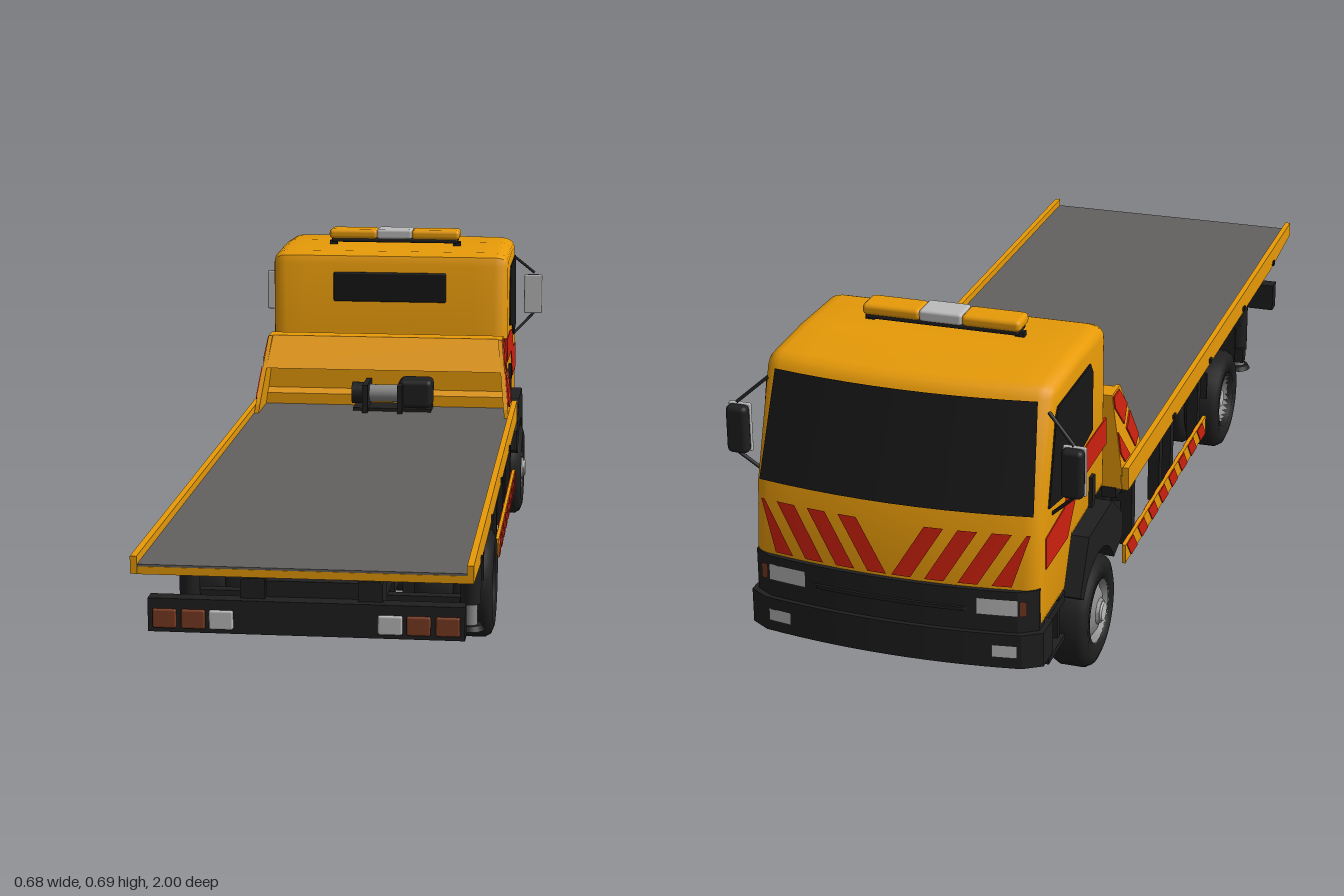
import * as THREE from 'three';
import { toCreasedNormals } from 'three/addons/utils/BufferGeometryUtils.js';
import { RoundedBoxGeometry } from 'three/addons/geometries/RoundedBoxGeometry.js';

const paint = (name, color) => new THREE.MeshStandardMaterial({ name, color });

export function createModel() {
  const root = new THREE.Group();
  root.name = 'flatbedTruck';
  const yellow = paint('yellow', 0xea9c08), red = paint('red', 0xcc200d);
  const black = paint('black', 0x1f1f1f), glass = paint('glass', 0x161616);
  const deckGrey = paint('deckGrey', 0x636160), metal = paint('metal', 0x8a8a8a);
  const lens = paint('clearLens', 0xbcbcbc), brown = paint('brownLens', 0x7a3b22);
  const SIDES = [1, -1];

  const add = (name, geo, mat, parent = root) => {
    const m = new THREE.Mesh(geo, mat);
    m.name = name;
    parent.add(m);
    return m;
  };
  // Box given by its limits on each axis
  const box = (name, mat, x0, x1, y0, y1, z0, z1, r = 0) => {
    const size = [x1 - x0, y1 - y0, z1 - z0];
    const g = r ? new RoundedBoxGeometry(...size, 2, r) : new THREE.BoxGeometry(...size);
    g.translate((x0 + x1) / 2, (y0 + y1) / 2, (z0 + z1) / 2);
    return add(name, g, mat);
  };
  // The same box on both sides
  const pair = (name, mat, x0, x1, ...rest) => SIDES.forEach(s =>
    box(name, mat, s > 0 ? x0 : -x1, s > 0 ? x1 : -x0, ...rest));
  const shape = pts => new THREE.Shape(pts.map(p => new THREE.Vector2(...p)));
  // Side profile of (forward, up) points, extruded across x
  const profGeo = (pts, x0, x1) => new THREE.ExtrudeGeometry(shape(pts), { depth: x1 - x0, bevelEnabled: false })
    .rotateY(Math.PI / 2).translate(x0, 0, 0);
  const prof = (name, mat, pts, x0, x1) => add(name, profGeo(pts, x0, x1), mat);
  const profPair = (name, mat, pts, x0, x1) => SIDES.forEach(s =>
    prof(name, mat, pts, s > 0 ? x0 : -x1, s > 0 ? x1 : -x0));
  // Upright or x-wise cylinder, or one along z
  const rod = (name, mat, r, len, axis, x, y, z, r2 = r) => {
    const g = new THREE.CylinderGeometry(r, r2, len, 20);
    if (axis === 'x') g.rotateZ(Math.PI / 2);
    if (axis === 'z') g.rotateX(Math.PI / 2);
    return add(name, g.translate(x, y, z), mat);
  };

  // The nose is bowed: the front falls back towards the sides
  const BOW = 0.35;
  const bow = g => {
    const p = g.attributes.position;
    for (let i = 0; i < p.count; i++) {
      const f = THREE.MathUtils.clamp((-p.getZ(i) - 0.8) / 0.08, 0, 1);
      p.setZ(i, p.getZ(i) + f * BOW * p.getX(i) ** 2);
    }
    g.computeVertexNormals();
    return g;
  };
  // Four-sided face on the nose: bottom and top x limits, height, place and lean
  const noseFace = (name, mat, [b0, b1, t0, t1], h, y, z, tilt = 0) => {
    const g = new THREE.PlaneGeometry(1, 1, 10, 1), p = g.attributes.position;
    const { lerp } = THREE.MathUtils;
    for (let i = 0; i < p.count; i++) {
      const u = p.getX(i) + 0.5, t = p.getY(i) + 0.5;
      p.setXY(i, -lerp(lerp(b1, b0, u), lerp(t1, t0, u), t), (t - 0.5) * h);
    }
    add(name, bow(g.rotateY(Math.PI).rotateX(tilt).translate(0, y, z)), mat);
  };
  const noseFacePair = (name, mat, [b0, b1, t0, t1], ...rest) => SIDES.forEach(s =>
    noseFace(name, mat, s > 0 ? [b0, b1, t0, t1] : [-b1, -b0, -t1, -t0], ...rest));
  // Bowed bar across the nose
  const noseBar = (name, mat, half, back, front, y0, y1) => {
    const pts = [[half, back]];
    for (let i = 8; i >= -8; i--) {
      const x = i / 8 * half;
      pts.push([x, front - BOW * x * x - (Math.abs(i) === 8 ? 0.015 : 0)]);
    }
    pts.push([-half, back]);
    const g = new THREE.ExtrudeGeometry(shape(pts), { depth: y1 - y0, bevelEnabled: false });
    add(name, g.rotateX(-Math.PI / 2).translate(0, y0, 0), mat);
  };

  // Cab shell with soft edges and a cut for the front wheels
  const cab = new THREE.ExtrudeGeometry(shape([
    [0.535, 0.298], [0.56, 0.298], [0.745, 0.29], [0.79, 0.2], [0.982, 0.2], [0.984, 0.27], [0.97, 0.42],
    [0.9, 0.626], [0.888, 0.64], [0.87, 0.647], [0.72, 0.652], [0.565, 0.648], [0.543, 0.639], [0.535, 0.62],
  ]), { depth: 0.49, steps: 10, bevelThickness: 0.03, bevelSize: 0.022, bevelOffset: -0.022, bevelSegments: 4 });
  add('cabShell', toCreasedNormals(bow(cab.rotateY(Math.PI / 2).translate(-0.245, 0, 0)), 0.6), yellow);

  // Windscreen, rear window and side windows
  noseFace('windscreen', glass, [-0.262, 0.262, -0.25, 0.25], 0.205, 0.527, -0.939, 0.328);
  box('rearWindow', glass, -0.132, 0.132, 0.533, 0.602, -0.54, -0.53, 0.004);
  profPair('sideWindow', glass, [[0.635, 0.583], [0.65, 0.604], [0.85, 0.604], [0.862, 0.59], [0.905, 0.428],
    [0.82, 0.412], [0.748, 0.449], [0.635, 0.465]], 0.272, 0.278);

  // Red side bands and door handles
  profPair('sideBand', red, [[0.54, 0.449], [0.66, 0.449], [0.748, 0.438], [0.812, 0.385], [0.92, 0.376],
    [0.92, 0.315], [0.79, 0.315], [0.725, 0.39], [0.54, 0.394]], 0.272, 0.277);
  profPair('doorHandle', black, [[0.63, 0.31], [0.65, 0.31], [0.65, 0.372], [0.63, 0.372]], 0.272, 0.282);

  // Slanted warning stripes on the nose
  for (let i = 0; i < 4; i++) {
    const x = 0.005 + i * 0.062, cut = v => Math.min(v, 0.258);
    noseFacePair('noseStripe', red, [x, cut(x + 0.036), cut(x + 0.06), cut(x + 0.096)], 0.1, 0.345, -0.981, 0.1);
  }

  // Grille, headlights, bumper and steps
  noseBar('grille', black, 0.273, 0.92, 0.991, 0.205, 0.288);
  noseBar('grilleBar', black, 0.16, 0.95, 0.996, 0.245, 0.252);
  noseFacePair('headlight', lens, [0.165, 0.24, 0.165, 0.24], 0.032, 0.256, -0.993);
  noseFacePair('cornerLamp', brown, [0.243, 0.256, 0.243, 0.256], 0.03, 0.256, -0.993);
  noseBar('frontBumper', black, 0.283, 0.9, 1, 0.138, 0.206);
  noseFacePair('fogLight', lens, [0.195, 0.24, 0.195, 0.24], 0.024, 0.172, -1.002);
  pair('cabStep', black, 0.2, 0.278, 0.115, 0.125, -0.91, -0.81);
  pair('stepBracket', black, 0.2, 0.27, 0.12, 0.205, -0.83, -0.82);
  pair('cabSill', black, 0.19, 0.272, 0.185, 0.203, -0.92, -0.79);

  // Front wheel arches
  const arch = [[0.505, 0.19], [0.51, 0.235], [0.585, 0.298], [0.74, 0.295], [0.795, 0.195]];
  for (let i = 0; i <= 10; i++) {
    const a = 0.6 + (Math.PI - 1.1) * i / 10;
    arch.push([0.675 + 0.12 * Math.cos(a), 0.113 + 0.12 * Math.sin(a)]);
  }
  profPair('frontWheelArch', black, arch, 0.19, 0.303);

  // Roof light bar
  box('lightBarBase', black, -0.15, 0.15, 0.658, 0.668, -0.688, -0.642, 0.004);
  pair('lightBarEnd', yellow, 0.04, 0.155, 0.666, 0.689, -0.694, -0.636, 0.009);
  box('lightBarCentre', lens, -0.042, 0.042, 0.667, 0.69, -0.695, -0.635, 0.006);
  pair('lightBarFoot', black, 0.138, 0.156, 0.642, 0.66, -0.672, -0.658);

  // Door mirrors on straight stays
  for (const s of SIDES) {
    box('mirrorHousing', black, s * 0.32 - 0.021, s * 0.32 + 0.021, 0.456, 0.55, -0.915, -0.89, 0.01);
    box('mirrorGlass', lens, s * 0.32 - 0.022, s * 0.32 + 0.022, 0.455, 0.551, -0.894, -0.886, 0.0035);
    for (const [y0, y1] of [[0.602, 0.555], [0.4, 0.455]]) {
      const path = new THREE.LineCurve3(new THREE.Vector3(s * 0.268, y0, -0.875), new THREE.Vector3(s * 0.322, y1, -0.9));
      add('mirrorArm', new THREE.TubeGeometry(path, 1, 0.0035, 6), black);
    }
  }

  // Flat bed with side rails
  const rail = [[-1, 0.316], [-1, 0.284], [-0.8, 0.27], [0.475, 0.268], [0.475, 0.316]];
  profPair('bedRail', yellow, rail, 0.292, 0.304);
  prof('bedUnderside', yellow, [[-0.998, 0.297], [-0.998, 0.283], [-0.8, 0.271], [0.475, 0.271], [0.475, 0.297]], -0.293, 0.293);
  box('deck', deckGrey, -0.292, 0.292, 0.29, 0.301, -0.47, 0.997);
  for (const z of [0.81, 0.5, 0.18, -0.13]) pair('sideMarker', black, 0.302, 0.308, 0.274, 0.284, z - 0.007, z + 0.007);

  // Headboard: panel with pressed border, sloped cap and leaning end plates
  const lean = g => {
    const p = g.attributes.position;
    for (let i = 0; i < p.count; i++) p.setX(i, p.getX(i) * (1 - 0.45 * (p.getY(i) - 0.3)));
    g.computeVertexNormals();
    return g;
  };
  add('headboardPanel', lean(profGeo([[0.478, 0.27], [0.478, 0.467], [0.468, 0.467], [0.468, 0.27]], -0.288, 0.288)), yellow);
  add('headboardLowerBorder', lean(profGeo([[0.47, 0.3], [0.47, 0.34], [0.457, 0.326], [0.457, 0.3]], -0.285, 0.285)), yellow);
  add('headboardCap', lean(profGeo([[0.478, 0.467], [0.432, 0.467], [0.383, 0.398], [0.395, 0.396], [0.438, 0.455],
    [0.478, 0.455]], -0.288, 0.288)), yellow);
  for (const s of SIDES) {
    const plate = (name, mat, pts, a, b) => add(name, lean(profGeo(pts, s > 0 ? a : -b, s > 0 ? b : -a)), mat);
    plate('headboardEnd', yellow, [[0.338, 0.3], [0.342, 0.32], [0.422, 0.467], [0.478, 0.467], [0.478, 0.3]], 0.282, 0.292);
    const stripes = [[[0.352, 0.335], [0.38, 0.32], [0.42, 0.375], [0.388, 0.4]],
      [[0.4, 0.42], [0.432, 0.39], [0.475, 0.44], [0.475, 0.463], [0.435, 0.463]],
      [[0.42, 0.32], [0.455, 0.32], [0.475, 0.345], [0.475, 0.39]]];
    stripes.forEach(p => plate('headboardStripe', red, p, 0.287, 0.295));
  }

  // Winch under the cap
  rod('winchDrum', metal, 0.02, 0.09, 'x', -0.008, 0.337, -0.425);
  rod('winchGearbox', black, 0.025, 0.03, 'x', -0.06, 0.337, -0.425);
  box('winchMotor', black, 0.035, 0.112, 0.308, 0.374, -0.458, -0.392, 0.012);
  for (const x of [-0.04, 0.04]) box('winchFoot', black, x - 0.006, x + 0.006, 0.3, 0.365, -0.46, -0.365);
  box('winchBase', black, -0.07, 0.11, 0.3, 0.308, -0.46, -0.39);

  // Chassis rails, sub-frame and cross members
  pair('subframeRail', black, 0.13, 0.16, 0.245, 0.272, -0.48, 0.77);
  pair('outerSubframe', black, 0.25, 0.28, 0.25, 0.272, -0.48, 0.77);
  pair('chassisRail', black, 0.085, 0.125, 0.18, 0.243, -0.93, 0.86);
  for (const z of [-0.9, -0.5, -0.2, 0.1, 0.36, 0.6, 0.83]) box('crossMember', black, -0.12, 0.12, 0.19, 0.235, z - 0.015, z + 0.015);
  for (const z of [-0.42, -0.12, 0.15, 0.55, 0.74]) box('bedCrossMember', black, -0.28, 0.28, 0.24, 0.258, z - 0.015, z + 0.015);
  box('engine', black, -0.085, 0.085, 0.13, 0.29, -0.88, -0.55, 0.015);
  box('cabMount', black, -0.23, 0.23, 0.235, 0.268, -0.53, -0.49);
  pair('cabMountPad', black, 0.19, 0.24, 0.25, 0.3, -0.53, -0.49);
  rod('driveShaft', black, 0.014, 0.85, 'z', 0, 0.14, -0.07);
  box('fuelTank', black, 0.14, 0.26, 0.14, 0.235, -0.35, -0.08, 0.015);
  box('batteryBox', black, -0.25, -0.14, 0.145, 0.235, -0.42, -0.25, 0.01);
  rod('airTank', black, 0.035, 0.25, 'z', -0.19, 0.185, -0.05);

  // Axles and springs
  for (const z of [-0.68, 0.36]) {
    rod('axle', black, 0.022, 0.46, 'x', 0, 0.11, z);
    pair('spring', black, 0.09, 0.12, 0.13, 0.15, z - 0.17, z + 0.17);
    for (const d of [-0.167, 0.167]) pair('springHanger', black, 0.09, 0.12, 0.13, 0.19, z + d - 0.012, z + d + 0.012);
    pair('springPlate', black, 0.12, 0.15, 0.065, 0.16, z - 0.025, z + 0.025);
  }
  add('differential', new THREE.SphereGeometry(0.05, 16, 12).translate(0, 0.115, 0.36), black);

  // Wheels, doubled at the rear
  const v = pts => pts.map(p => new THREE.Vector2(...p));
  const tyre = new THREE.LatheGeometry(v([[0, -0.03], [0.06, -0.036], [0.088, -0.04], [0.103, -0.034], [0.11, -0.022],
    [0.11, 0.022], [0.103, 0.034], [0.088, 0.04], [0.062, 0.036], [0.056, 0.01]]), 32).rotateZ(-Math.PI / 2);
  const lathe = pts => toCreasedNormals(new THREE.LatheGeometry(v(pts), 28).rotateZ(-Math.PI / 2), 0.5);
  const frontRim = lathe([[0.063, 0.037], [0.055, 0.022], [0.04, 0.032], [0.026, 0.036], [0.022, 0.042], [0, 0.043]]);
  const rearRim = lathe([[0.063, 0.037], [0.053, 0.002], [0.03, -0.004], [0.027, 0.02], [0, 0.024]]);
  const hubCap = new THREE.CylinderGeometry(0.018, 0.02, 0.006, 20).rotateZ(-Math.PI / 2);
  for (const s of SIDES) for (const [name, x, z, rim, hub] of [['frontWheel', 0.27, -0.68, frontRim, 0.043],
    ['rearOuterWheel', 0.265, 0.36, rearRim, 0.024], ['rearInnerWheel', 0.19, 0.36]]) {
    const wheel = new THREE.Group();
    wheel.name = name;
    wheel.position.set(s * x, 0.11, z);
    if (s < 0) wheel.rotation.y = Math.PI;
    add('tyre', tyre, black, wheel);
    if (rim) {
      add('rim', rim, metal, wheel);
      add('hubCap', hubCap, lens, wheel).position.x = hub;
    }
    root.add(wheel);
  }
  pair('mudFlap', black, 0.16, 0.29, 0.15, 0.23, 0.485, 0.492);
  pair('rearGuard', black, 0.16, 0.29, 0.17, 0.23, 0.215, 0.222);

  // Striped side guards
  pair('sideGuard', yellow, 0.294, 0.301, 0.11, 0.15, -0.48, 0.17);
  for (let u = -0.165; u < 0.4; u += 0.08) {
    profPair('guardStripe', red, [[u, 0.111], [u + 0.045, 0.111], [u + 0.078, 0.149], [u + 0.033, 0.149]], 0.292, 0.303);
  }
  for (const z of [-0.4, -0.19, -0.1, 0.13]) {
    pair('guardPost', black, 0.27, 0.294, 0.115, 0.26, z - 0.012, z + 0.012);
    pair('guardArm', black, 0.12, 0.29, 0.21, 0.23, z - 0.012, z + 0.012);
  }

  // Rear light bar, set slightly to the right
  const OFF = -0.009;
  box('rearLightBar', black, OFF - 0.29, OFF + 0.29, 0.142, 0.205, 0.845, 0.877);
  pair('rearBarBracket', black, 0.1, 0.13, 0.18, 0.24, 0.78, 0.86);
  for (const s of SIDES) [[0.132, 0.177, lens], [0.184, 0.228, brown], [0.237, 0.281, brown]].forEach(([a, b, m]) =>
    box('rearLamp', m, OFF + Math.min(s * a, s * b), OFF + Math.max(s * a, s * b), 0.15, 0.186, 0.874, 0.883, 0.004));

  // Stabiliser legs on a cross beam
  for (const s of SIDES) {
    rod('stabiliserTube', black, 0.02, 0.11, 'y', s * 0.272, 0.19, 0.6);
    rod('stabiliserRam', metal, 0.014, 0.045, 'y', s * 0.272, 0.115, 0.605);
    rod('stabiliserFoot', black, 0.022, 0.01, 'y', s * 0.272, 0.09, 0.605, 0.028);
  }
  box('stabiliserBeam', black, -0.29, 0.285, 0.11, 0.145, 0.575, 0.6);
  box('stabiliserCarrier', black, -0.28, 0.28, 0.2, 0.235, 0.58, 0.62);
  return root;
}
